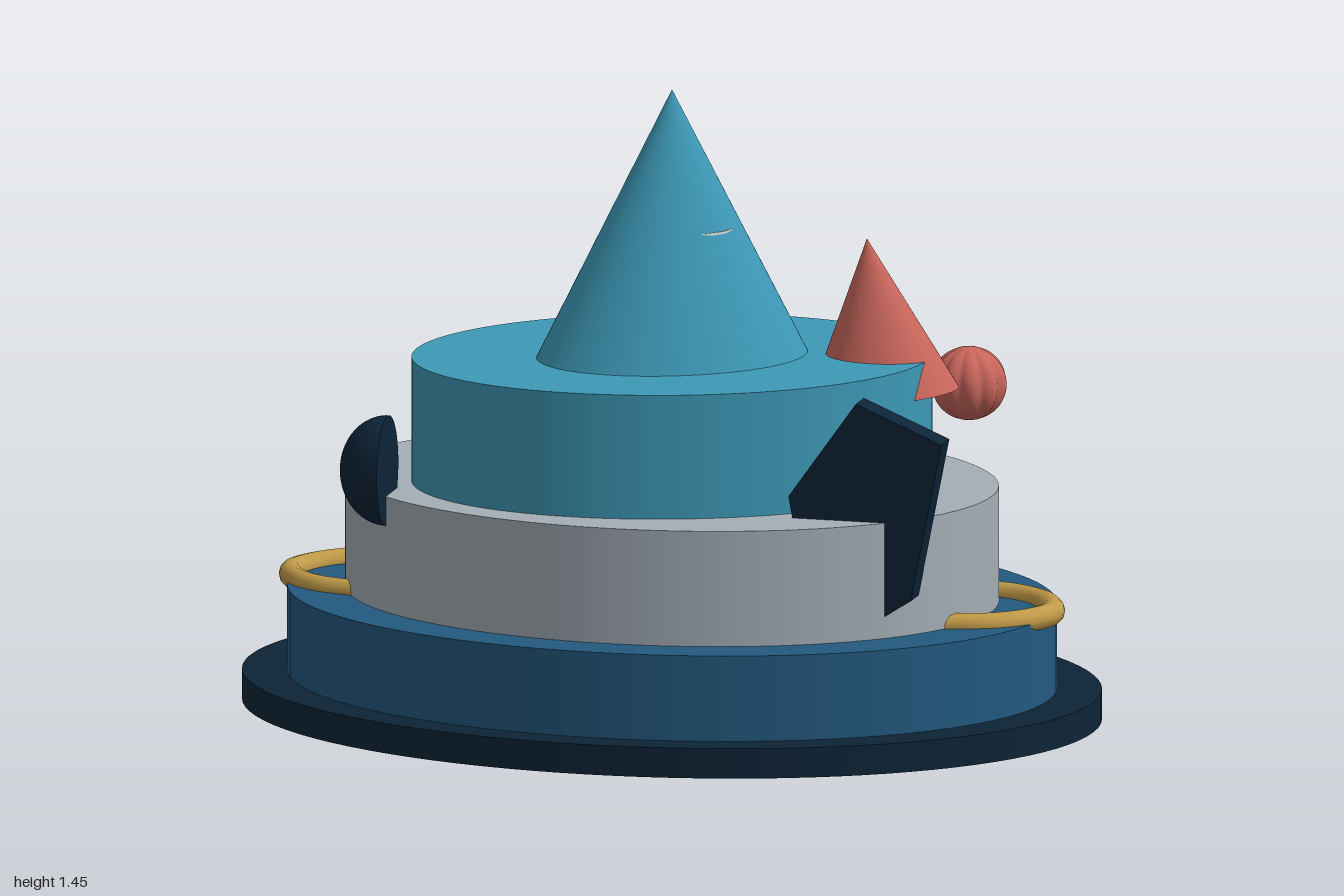
import * as THREE from 'three';

const paint = (name, color) => {
  const m = new THREE.MeshStandardMaterial({ color });
  m.name = name;
  return m;
};

export function createModel() {
  const model = new THREE.Group();
  model.name = 'tieredTower';
  const navy = paint('navy', 0x0d2437);
  const blue = paint('blue', 0x23597f);
  const grey = paint('grey', 0xa4aeb6);
  const teal = paint('teal', 0x3d98b6);
  const coral = paint('coral', 0xc7655b);
  const gold = paint('gold', 0xc09a48);
  const white = paint('white', 0xd9e0e4);
  coral.side = THREE.DoubleSide;

  const add = (name, geometry, material, x = 0, y = 0, z = 0) => {
    const mesh = new THREE.Mesh(geometry, material);
    mesh.name = name;
    mesh.position.set(x, y, z);
    model.add(mesh);
    return mesh;
  };

  // Elliptical solid from y0 to y1, turned about the vertical axis
  const ellipse = (name, material, rx, rz, y0, y1, turn = 0, topRadius = 1) => {
    const mesh = add(name, new THREE.CylinderGeometry(topRadius, 1, y1 - y0, 96), material, 0, (y0 + y1) / 2, 0);
    mesh.scale.set(rx, 1, rz);
    mesh.rotation.y = THREE.MathUtils.degToRad(turn);
    return mesh;
  };

  // Stacked tiers and spire
  ellipse('basePlate', navy, 1, 0.747, 0, 0.07);
  ellipse('lowerTier', blue, 0.895, 0.67, 0.07, 0.27);
  ellipse('middleTier', grey, 0.76, 0.57, 0.27, 0.54);
  ellipse('upperTier', teal, 0.598, 0.45, 0.54, 0.83, 20.5);
  ellipse('spire', teal, 0.316, 0.236, 0.83, 1.45, 31, 0);
  // Thin band that just breaks the spire surface
  ellipse('spireBand', white, 0.15, 0.116, 1.127, 1.133, 15);

  // Curved handles on both ends
  for (const side of [-1, 1]) {
    const path = new THREE.CatmullRomCurve3(
      [[0.69, -0.19], [0.79, -0.16], [0.86, -0.1], [0.9, 0], [0.86, 0.1], [0.79, 0.16], [0.69, 0.19]]
        .map(([x, z]) => new THREE.Vector3(side * x, 0.273, z)));
    add(side > 0 ? 'leftHandle' : 'rightHandle', new THREE.TubeGeometry(path, 32, 0.028, 12), gold);
  }

  // Small leaning cone: apex at the mesh origin
  const coneGeo = new THREE.ConeGeometry(0.175, 0.363, 64).translate(0, -0.1815, 0).scale(1, 1, 0.8);
  add('smallCone', coneGeo, coral, 0.43, 1.1, -0.12).rotation.z = THREE.MathUtils.degToRad(6.4);

  // Ribbed ball
  const ballGeo = new THREE.SphereGeometry(0.085, 80, 32);
  const pos = ballGeo.attributes.position;
  for (let i = 0; i < pos.count; i++) {
    const angle = Math.atan2(pos.getZ(i), pos.getX(i));
    const k = 0.93 + 0.11 * Math.abs(Math.cos(angle * 5));
    pos.setX(i, pos.getX(i) * k);
    pos.setZ(i, pos.getZ(i) * k);
  }
  ballGeo.computeVertexNormals();
  add('ribbedBall', ballGeo, coral, 0.63, 0.74, -0.277);

  // Flat shelf at the back
  const shelf = add('backShelf', new THREE.CircleGeometry(1, 64).rotateX(-Math.PI / 2), coral, -0.375, 0.454, -0.385);
  shelf.scale.set(0.257, 1, 0.235);

  // Half dome on the right side, closed by a flat disc
  const dome = new THREE.Group();
  dome.name = 'sideDome';
  dome.add(
    new THREE.Mesh(new THREE.SphereGeometry(1, 48, 24, 0, Math.PI * 2, 0, Math.PI / 2), navy),
    new THREE.Mesh(new THREE.CircleGeometry(1, 48).rotateX(Math.PI / 2), navy));
  dome.children[0].name = 'domeShell';
  dome.children[1].name = 'domeFace';
  dome.rotation.z = Math.PI / 2;
  dome.scale.set(0.128, 0.11, 0.096);
  dome.position.set(-0.58, 0.598, 0.353);
  model.add(dome);

  // Five-sided upright plate
  const outline = new THREE.Shape(
    [[0.44, 0.22], [0.66, 0.36], [0.733, 0.73], [0.53, 0.815], [0.37, 0.59]]
      .map(([x, y]) => new THREE.Vector2(x, y)));
  add('uprightPlate', new THREE.ExtrudeGeometry(outline, { depth: 0.07, bevelEnabled: false }), navy, 0, 0, 0.281);

  return model;
}
